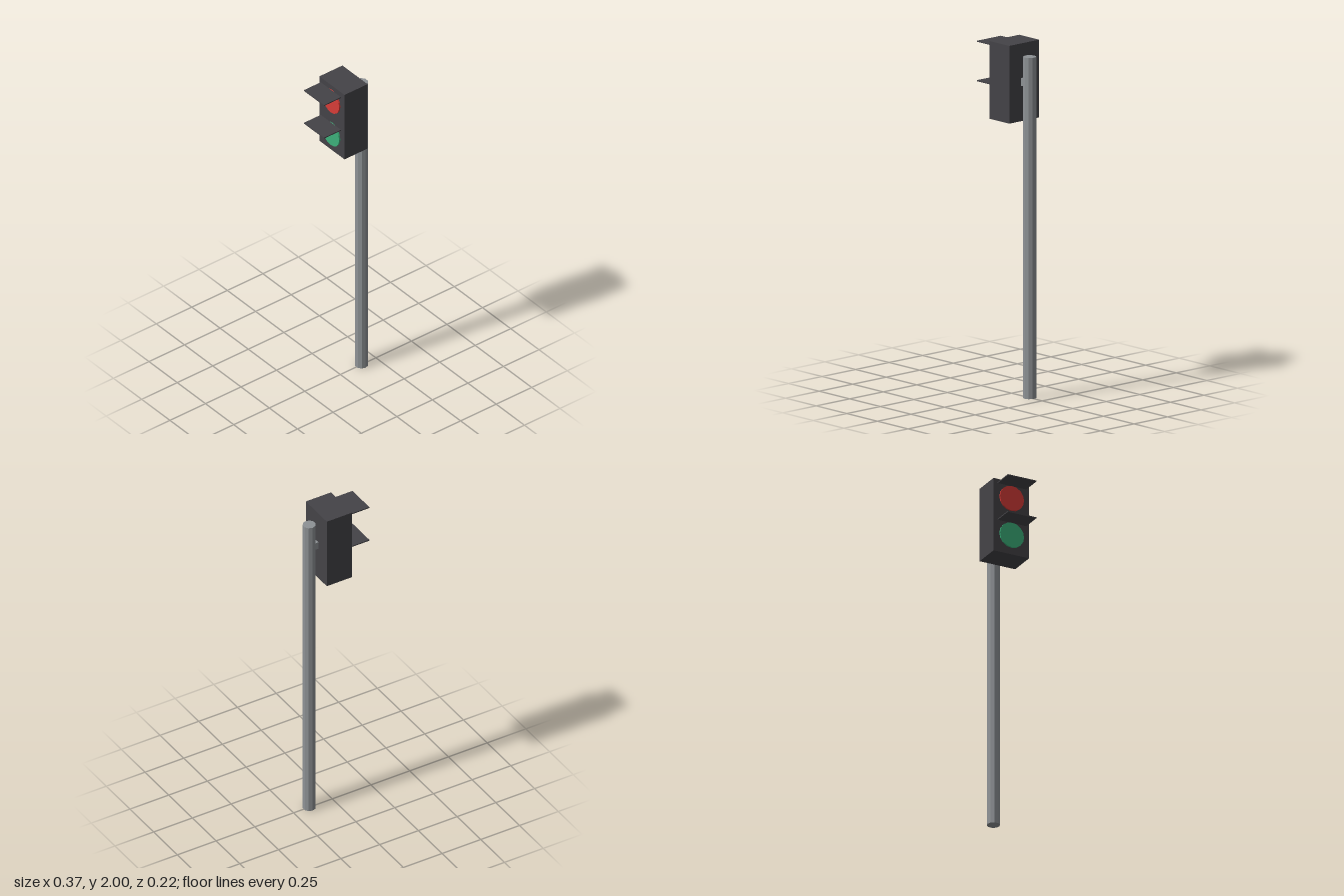
import * as THREE from 'three';

const material = (name, color) => {
  const m = new THREE.MeshStandardMaterial({ color });
  m.name = name;
  m.flatShading = true;
  return m;
};

export function createModel() {
  const root = new THREE.Group();
  root.name = 'trafficLight';

  const housingGrey = material('housing dark grey', 0x444347);
  const poleGrey = material('pole grey', 0x8e9295);
  const red = material('red lens', 0xd63c38);
  const green = material('green lens', 0x3cb07a);

  const add = (name, geometry, mat, x, y, z = 0) => {
    const mesh = new THREE.Mesh(geometry, mat);
    mesh.name = name;
    mesh.position.set(x, y, z);
    root.add(mesh);
    return mesh;
  };

  // Ten-sided pole with a short bracket to the housing
  add('pole', new THREE.CylinderGeometry(0.037, 0.037, 1.93, 10), poleGrey, 0.149, 0.965);
  add('bracket', new THREE.BoxGeometry(0.03, 0.044, 0.044), poleGrey, 0.113, 1.782);

  // Signal housing
  add('housing', new THREE.BoxGeometry(0.162, 0.44, 0.222), housingGrey, 0.022, 1.78);

  // Each lamp is a thin lens facing -x under a flat visor
  const lamps = [['red', red, 1.897], ['green', green, 1.674]];
  for (const [name, mat, y] of lamps) {
    const lens = new THREE.CylinderGeometry(0.075, 0.075, 0.009, 16).rotateZ(Math.PI / 2);
    add(name + 'Lens', lens, mat, -0.0635, y);
    add(name + 'Visor', new THREE.BoxGeometry(0.118, 0.006, 0.178), housingGrey, -0.126, y + 0.076);
  }

  return root;
}
